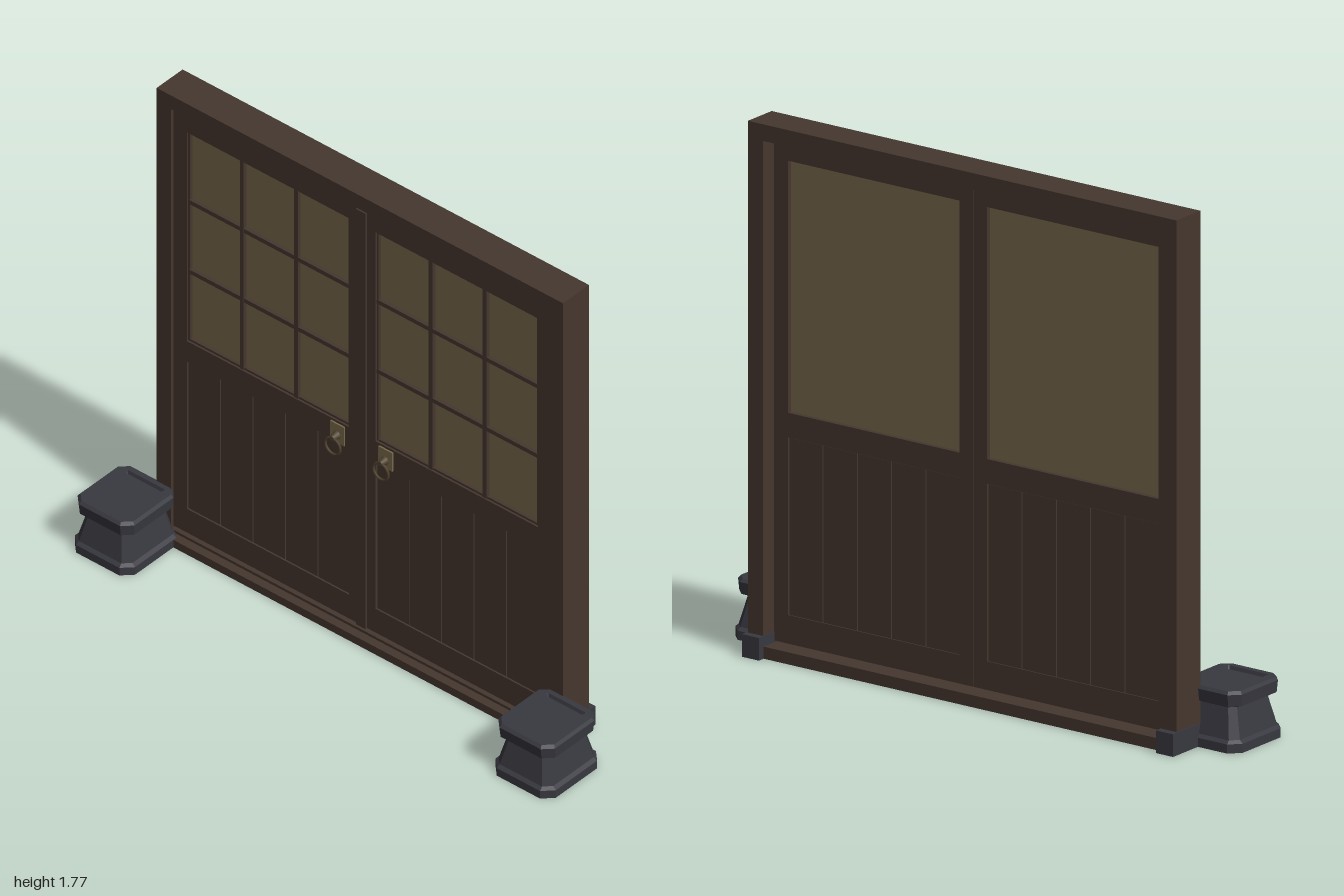
import * as THREE from 'three';

const mat = (name, color) => Object.assign(new THREE.MeshStandardMaterial({ color }), { name });

export function createModel() {
  const wood = mat('dark wood', 0x45372f);
  const pane = mat('paper pane', 0x75664b);
  const stone = mat('grey stone', 0x383840);
  const brass = mat('dull brass', 0x79694a);
  const bronze = mat('dark bronze', 0x51432f);
  const root = new THREE.Group();
  root.name = 'doubleDoor';

  // Box given by its limits on each axis
  const box = (parent, name, material, x0, x1, y0, y1, z0, z1) => {
    const mesh = new THREE.Mesh(new THREE.BoxGeometry(Math.abs(x1 - x0), y1 - y0, z1 - z0), material);
    mesh.position.set((x0 + x1) / 2, (y0 + y1) / 2, (z0 + z1) / 2);
    mesh.name = name;
    parent.add(mesh);
    return mesh;
  };

  // Chamfered-rectangle rings [y, half x, half z, chamfer], joined upwards
  const pedestalGeometry = (rings) => {
    const pos = [], index = [];
    for (const [y, a, b, c] of rings) {
      for (const [x, z] of [[a, b - c], [a, c - b], [a - c, -b], [c - a, -b],
        [-a, c - b], [-a, b - c], [c - a, b], [a - c, b]]) pos.push(x, y, z);
    }
    for (let r = 0; r < rings.length - 1; r++) {
      for (let i = 0; i < 8; i++) {
        const p = r * 8 + i, q = r * 8 + (i + 1) % 8;
        index.push(p, q, q + 8, p, q + 8, p + 8);
      }
    }
    const last = (rings.length - 1) * 8;
    for (let i = 1; i < 7; i++) {
      index.push(0, i + 1, i);
      index.push(last, last + i, last + i + 1);
    }
    const indexed = new THREE.BufferGeometry();
    indexed.setAttribute('position', new THREE.Float32BufferAttribute(pos, 3));
    indexed.setIndex(index);
    const flat = indexed.toNonIndexed();
    flat.computeVertexNormals();
    return flat;
  };
  const pedestalShape = pedestalGeometry([
    [0, 0.125, 0.135, 0.035],
    [0.03, 0.125, 0.135, 0.035],
    [0.04, 0.113, 0.123, 0.025],
    [0.14, 0.088, 0.1, 0.02],
    [0.15, 0.115, 0.122, 0.03],
    [0.19, 0.118, 0.127, 0.032],
    [0.2, 0.11, 0.118, 0.028],
    [0.2, 0.079, 0.098, 0.003],
    [0.188, 0.075, 0.094, 0.003],
  ]);

  // Surrounding frame
  box(root, 'lintel', wood, -0.845, 0.845, 1.715, 1.77, -0.175, -0.05);
  box(root, 'sill', wood, -0.785, 0.785, 0, 0.04, -0.175, -0.05);
  box(root, 'sillStep', wood, -0.785, 0.785, 0, 0.03, -0.05, -0.02);
  box(root, 'meetingStrip', wood, -0.02, 0.02, 0.045, 1.705, -0.066, -0.054);

  for (const s of [-1, 1]) {
    const side = s > 0 ? 'left' : 'right';
    box(root, side + 'Post', wood, s * 0.785, s * 0.845, 0.04, 1.715, -0.175, -0.05);
    box(root, side + 'PostFoot', stone, s * 0.783, s * 0.85, 0, 0.075, -0.2, -0.065);
    const pedestal = new THREE.Mesh(pedestalShape, stone);
    pedestal.name = side + 'Pedestal';
    pedestal.position.set(s * 0.875, 0, 0.065);
    root.add(pedestal);

    // Door leaf: stiles and rails
    const door = new THREE.Group();
    door.name = side + 'Door';
    root.add(door);
    const zb = -0.117, zf = -0.062;
    box(door, 'innerStile', wood, s * 0.001, s * 0.055, 0.045, 1.71, zb, zf);
    box(door, 'outerStile', wood, s * 0.73, s * 0.785, 0.045, 1.71, zb, zf);
    for (const [name, y0, y1] of [['bottomRail', 0.045, 0.14], ['middleRail', 0.728, 0.81], ['topRail', 1.645, 1.715]]) {
      box(door, name, wood, s * 0.055, s * 0.73, y0, y1, zb, zf);
    }

    // Pane with lattice on the front
    box(door, 'pane', pane, s * 0.055, s * 0.73, 0.81, 1.645, -0.102, -0.08);
    for (let i = 1; i < 3; i++) {
      const x = 0.055 + 0.225 * i, y = 0.81 + 0.278 * i;
      box(door, 'uprightBar', wood, s * (x - 0.008), s * (x + 0.008), 0.81, 1.645, -0.081, -0.066);
      box(door, 'crossBar', wood, s * 0.055, s * 0.73, y - 0.008, y + 0.008, -0.081, -0.067);
    }
    // Thin bead around the pane
    for (const x of [0.059, 0.726]) {
      box(door, 'paneBead', wood, s * (x - 0.004), s * (x + 0.004), 0.81, 1.645, -0.081, -0.068);
    }
    for (const y of [0.814, 1.641]) {
      box(door, 'paneBead', wood, s * 0.055, s * 0.73, y - 0.004, y + 0.004, -0.081, -0.069);
    }

    // Plank panel
    box(door, 'panelCore', wood, s * 0.055, s * 0.73, 0.14, 0.728, -0.106, -0.076);
    for (let i = 0; i < 5; i++) {
      const x = 0.055 + 0.135 * i;
      box(door, 'plank', wood, s * (x + 0.002), s * (x + 0.133), 0.14, 0.726, -0.113, -0.068);
    }

    // Handle: plate, boss and hanging ring
    const handle = new THREE.Group();
    handle.name = side + 'Handle';
    handle.position.x = s * 0.1;
    door.add(handle);
    box(handle, 'handlePlate', brass, -0.029, 0.029, 0.728, 0.802, zf, -0.056);
    const boss = new THREE.Mesh(new THREE.CylinderGeometry(0.009, 0.015, 0.026, 10), bronze);
    boss.name = 'handleBoss';
    boss.rotation.x = Math.PI / 2;
    boss.position.set(0, 0.76, -0.043);
    handle.add(boss);
    const ring = new THREE.Mesh(new THREE.TorusGeometry(0.031, 0.0045, 6, 20), bronze);
    ring.name = 'handleRing';
    ring.position.set(0, 0.727, -0.036);
    handle.add(ring);
  }
  return root;
}
